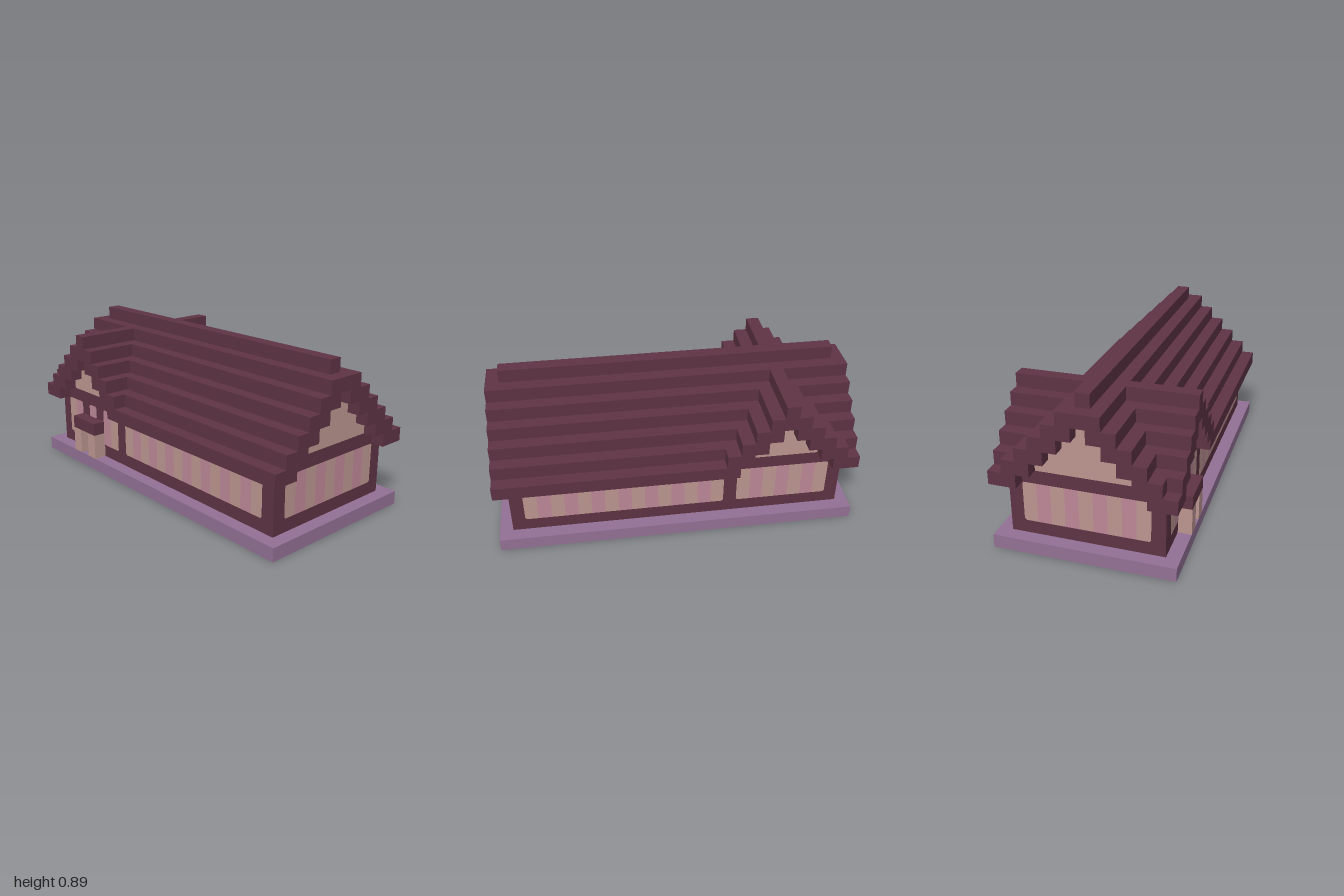
import * as THREE from 'three';

const U = 2 / 27; // one block
const mat = (name, color) => Object.assign(new THREE.MeshStandardMaterial({ color }), { name });

export function createModel() {
  const model = new THREE.Group();
  model.name = 'longHouse';
  const timber = mat('dark timber', 0x5e3343);
  const plaster = mat('tan plaster', 0xbc9690);
  const pink = mat('pink glass', 0xbe8898);
  const stone = mat('purple stone', 0x937195);

  // Box from min and max corners, in blocks
  function block(name, m, x0, x1, y0, y1, z0, z1, parent = model) {
    const mesh = new THREE.Mesh(new THREE.BoxGeometry((x1 - x0) * U, (y1 - y0) * U, (z1 - z0) * U), m);
    mesh.position.set((x0 + x1) / 2 * U, (y0 + y1) / 2 * U, (z0 + z1) / 2 * U);
    mesh.name = name;
    parent.add(mesh);
  }

  // Right half of a stepped gable line: widths listed from the bottom row up
  const steps = (y0, widths) => widths.flatMap((w, i) => [[w, y0 + i], [w, y0 + i + 1]]);
  const mirror = (pts) => pts.map(([x, y]) => [-x, y]).reverse();
  function stepped(name, m, pts, length, x, alongX) {
    const shape = new THREE.Shape(pts.map(([a, b]) => new THREE.Vector2(a * U, b * U)));
    const geo = new THREE.ExtrudeGeometry(shape, { depth: length * U, bevelEnabled: false });
    geo.translate(0, 0, -length * U / 2);
    if (alongX) geo.rotateY(Math.PI / 2);
    const mesh = new THREE.Mesh(geo, m);
    mesh.position.x = x * U;
    mesh.name = name;
    model.add(mesh);
  }

  // Stepped roof shell and the plaster gable that closes its ends
  function gableRoof(name, outer, inner, length, x, alongX) {
    const out = steps(5, outer), inn = steps(5, inner);
    stepped(name, timber, [...out, ...mirror(out), ...mirror(inn).reverse(), ...inn.slice().reverse()], length, x, alongX);
    const fill = steps(6, inner.slice(1));
    stepped(name + 'GableWall', plaster, [...fill, ...mirror(fill)], length - 1.9, x, alongX);
  }

  // Base and walls
  block('base', stone, -13.5, 13.5, 0, 1, -6.5, 6.5);
  block('walls', timber, -12.5, 12.5, 1, 6, -5.5, 5.5);

  // Main roof, cross roof, eaves and ridge
  gableRoof('mainRoof', [5.5, 5.5, 4.5, 3.5, 2.5, 1.5], [4.5, 3.5, 2.5, 1.5, 0.5], 27, 0, true);
  gableRoof('crossRoof', [4.5, 4.5, 3.5, 2.5, 1.5, 0.5], [3.5, 2.5, 1.5, 0.5], 13, -8, false);
  for (const z of [-6.5, 5.5]) {
    block('eaveShort', timber, -13.5, -11.5, 5, 6, z, z + 1);
    block('eaveLong', timber, -4.5, 13.5, 5, 6, z, z + 1);
  }
  block('ridgeCap', timber, -12.5, 12.5, 11, 12, -0.5, 0.5);

  // Striped window band with clipped corners, facing +z
  const c = 0.12;
  function windowBand(parent, x0, count, first = 0, y0 = 2) {
    for (let i = 0; i < count; i++) {
      const l = i === 0 ? c : 0, r = i === count - 1 ? c : 0;
      const a = x0 + i, b = a + 1;
      const pts = [[a + l, y0], [b - r, y0], [b, y0 + r], [b, 5 - r], [b - r, 5], [a + l, 5], [a, 5 - l], [a, y0 + l]];
      const shape = new THREE.Shape(pts.map(([x, y]) => new THREE.Vector2(x * U, y * U)));
      const pane = new THREE.Mesh(new THREE.ShapeGeometry(shape), (i + first) % 2 ? pink : plaster);
      pane.name = 'windowPane';
      parent.add(pane);
    }
  }
  function wallFace(name, angle, distance) {
    const g = new THREE.Group();
    g.name = name;
    g.rotation.y = angle;
    g.position.set(Math.sin(angle), 0, Math.cos(angle)).multiplyScalar(distance * U + 0.003);
    model.add(g);
    return g;
  }
  const front = wallFace('frontWindows', 0, 5.5);
  windowBand(front, -11.5, 2);
  windowBand(front, -8.5, 1, 1, 4);
  windowBand(front, -6.5, 2, 1);
  windowBand(front, -3.5, 15);
  const back = wallFace('backWindows', Math.PI, 5.5);
  windowBand(back, -11.5, 15);
  windowBand(back, 4.5, 7);
  for (const s of [-1, 1]) windowBand(wallFace('endWindows', s * Math.PI / 2, 12.5), -4.5, 9);

  // Porch with two pillars, a lintel and the door behind
  const porch = new THREE.Group();
  porch.name = 'porch';
  model.add(porch);
  for (const x of [-9.5, -7.5]) block('porchPillar', plaster, x, x + 1, 1, 3, 5.5, 6.5, porch);
  block('porchLintel', timber, -9.5, -6.5, 3, 4, 5.5, 6.5, porch);
  block('door', plaster, -8.5, -7.5, 1, 3, 5.45, 5.55, porch);

  return model;
}
